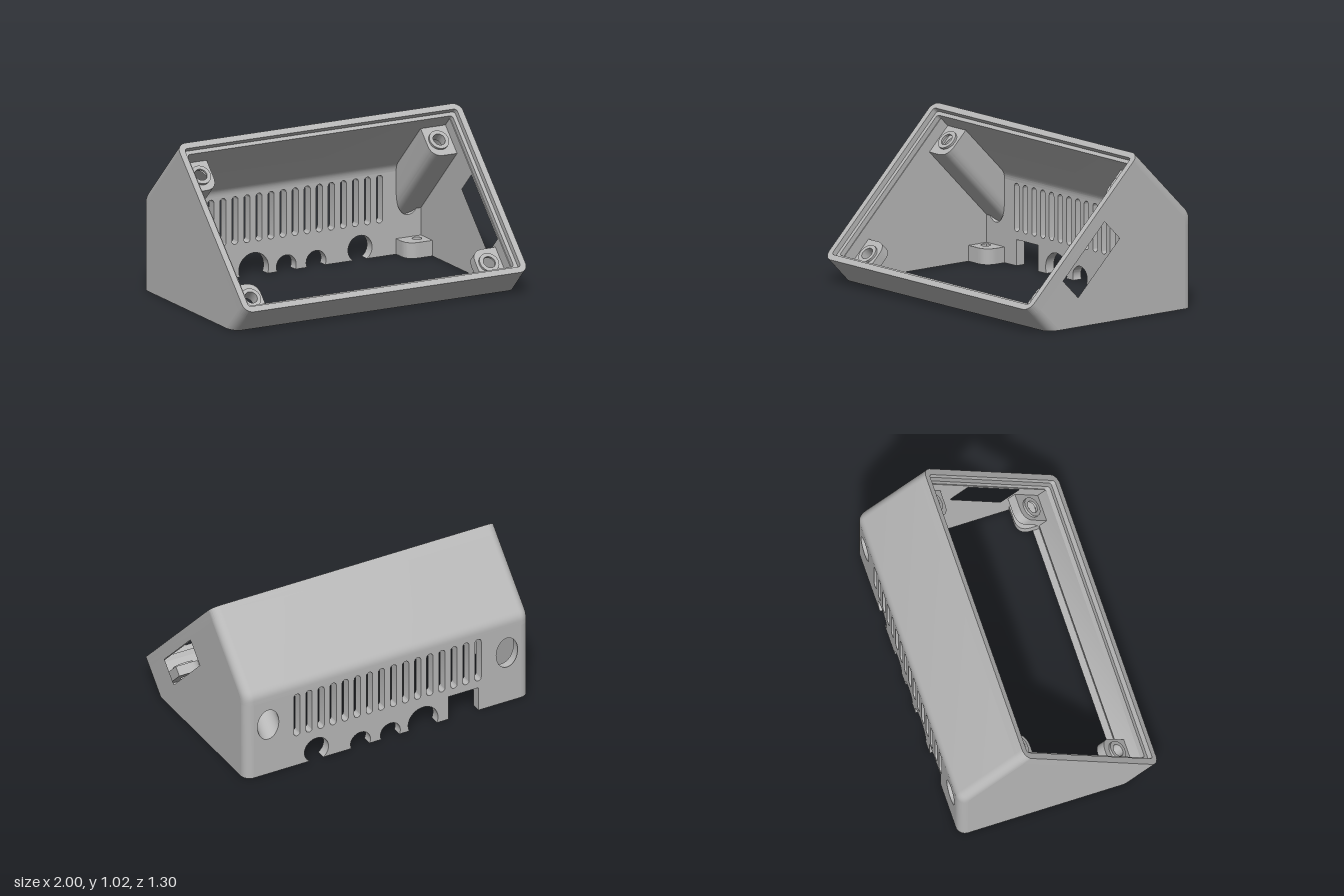
import * as THREE from 'three';
import { toCreasedNormals } from 'three/addons/utils/BufferGeometryUtils.js';

const R2 = Math.SQRT2;
const WALL = 0.065, FILLET = 0.06;            // wall thickness, outer edge radius
const U_LOW = -0.35, U_HIGH = 0.88;           // sloped face extents, along the slope
const FACE = 0.569, LEDGE = 0.534, NECK = 0.5; // heights along the face normal
const BACK = -0.65, SEAM = 0.53;              // back plane, top of the flat back panel

export function createModel() {
  const root = new THREE.Group();
  root.name = 'slopedEnclosure';
  const grey = new THREE.MeshStandardMaterial({ color: 0xb8b8b8 });
  grey.name = 'grey plastic';

  // Sloped frame: local x across, y up the slope, z out of the open face
  const slope = new THREE.Group();
  slope.name = 'slopedFrame';
  slope.rotation.x = -Math.PI / 4;
  root.add(slope);

  const add = (parent, name, geometry) => {
    const mesh = new THREE.Mesh(toCreasedNormals(geometry, 0.5), grey);
    mesh.name = name;
    parent.add(mesh);
    return mesh;
  };
  const extrude = (shape, depth) =>
    new THREE.ExtrudeGeometry(shape, { depth, bevelEnabled: false, curveSegments: 16 });
  const circle = (x, y, rx, ry = rx) =>
    new THREE.Path().absellipse(x, y, rx, ry, 0, Math.PI * 2, true);

  // Rounded rectangle matching the sloped face, inset by d
  function faceRect(path, d, r) {
    const x = 1 - d, a = U_LOW + d, b = U_HIGH - d;
    path.absarc(x - r, b - r, r, 0, Math.PI / 2, false);
    path.absarc(-x + r, b - r, r, Math.PI / 2, Math.PI, false);
    path.absarc(-x + r, a + r, r, Math.PI, Math.PI * 1.5, false);
    path.absarc(x - r, a + r, r, Math.PI * 1.5, Math.PI * 2, false);
    path.closePath();
    return path;
  }
  function faceRing(name, inset, from, to) {
    const shape = faceRect(new THREE.Shape(), 0, FILLET);
    shape.holes.push(faceRect(new THREE.Path(), inset, 0.02));
    add(slope, name, extrude(shape, to - from).translate(0, 0, from));
  }
  faceRing('faceRim', 0.04, LEDGE, FACE);
  faceRing('panelLedge', WALL, NECK, LEDGE);

  // Side profiles as [z, y] points, inset by d
  function upperChain(d) {
    const k = U_HIGH * R2 - R2 * d, f = NECK * R2;
    const z = BACK + d, y = k + z, t = 0.035;
    const bend = new THREE.QuadraticBezierCurve(
      new THREE.Vector2(z + t / R2, y + t / R2),
      new THREE.Vector2(z, y), new THREE.Vector2(z, y - t));
    return [[(f - k) / 2, (f + k) / 2], ...bend.getPoints(5).map(p => [p.x, p.y]), [z, SEAM]];
  }
  function lowerChain(d) {
    const k = U_LOW * R2 + R2 * d, f = NECK * R2;
    const mid = 0.05 - k;
    return [[(f - k) / 2, (f + k) / 2], [mid, 0.05], [d > FILLET ? mid : -k, 0]];
  }

  // Wall band: one rounded cross-section of [x, inset] swept down a profile
  const section = [];
  for (let i = 0; i <= 8; i++) {
    const a = (i / 8) * Math.PI / 2;
    section.push([1 - FILLET + FILLET * Math.cos(a), FILLET * (1 - Math.sin(a))]);
  }
  section.push(...section.map(([x, d]) => [-x, d]).reverse(), [-0.99, WALL], [0.99, WALL]);

  function band(chain, flip, cap) {
    const cols = section.map(([x, d]) => chain(d).map(([z, y]) => [x, y, z]));
    const pos = [], n = cols.length, last = cols[0].length - 1;
    const tri = (a, b, c) => pos.push(...a, ...(flip ? c : b), ...(flip ? b : c));
    for (let i = 0; i < n; i++) {
      const p = cols[i], q = cols[(i + 1) % n];
      for (let j = 0; j < last; j++) {
        tri(p[j], q[j], q[j + 1]);
        tri(p[j], q[j + 1], p[j + 1]);
      }
    }
    if (cap) for (let i = 1; i < n - 1; i++) tri(cols[0][last], cols[i][last], cols[i + 1][last]);
    const g = new THREE.BufferGeometry();
    g.setAttribute('position', new THREE.Float32BufferAttribute(pos, 3));
    g.computeVertexNormals();
    return g;
  }
  add(root, 'topWall', band(upperChain, true, false));
  add(root, 'frontWall', band(lowerChain, false, true));

  // Back panel with connector cutouts along the bottom edge
  const back = new THREE.Shape();
  const edge = 1 - FILLET;
  back.moveTo(-edge, 0);
  [[-0.64, 0], [-0.64, 0.165], [-0.43, 0.165], [-0.43, 0]].forEach(p => back.lineTo(...p));
  for (const [x, y, r] of [[-0.25, 0.04, 0.105], [-0.02, 0.03, 0.07], [0.19, 0.03, 0.07], [0.5, 0.07, 0.085]]) {
    const a = Math.asin(y / r);
    back.absarc(x, y, r, Math.PI + a, -a, true);
  }
  [[edge, 0], [edge, SEAM], [-edge, SEAM]].forEach(p => back.lineTo(...p));
  back.closePath();
  // Vent slots
  for (let i = 0; i < 16; i++) {
    const x = (i - 7.5) * 0.085, r = 0.022;
    const slot = new THREE.Path();
    slot.absarc(x, 0.52 - r, r, 0, Math.PI, false);
    slot.absarc(x, 0.215 + r, r, Math.PI, Math.PI * 2, false);
    slot.closePath();
    back.holes.push(slot);
  }
  // Clearance for the slanted screw shafts
  for (const s of [-1, 1]) back.holes.push(circle(s * 0.84, 0.36, 0.082, 0.118));
  add(root, 'backPanel', extrude(back, WALL).translate(0, 0, BACK));

  // Mounting tab outline, from the wall at v0 to a rounded free end at v1
  function tab(s, v0, v1, hx, hv, hr) {
    const x0 = 0.755, x1 = 0.935, r = 0.085, e = Math.sign(v1 - v0) * r;
    const shape = new THREE.Shape();
    shape.moveTo(s * x1, v0);
    shape.lineTo(s * x0, v0);
    shape.lineTo(s * x0, v1 - e);
    shape.quadraticCurveTo(s * x0, v1, s * (x0 + r), v1);
    shape.lineTo(s * x1, v1);
    shape.closePath();
    shape.holes.push(circle(s * hx, hv, hr));
    return shape;
  }

  for (const s of [-1, 1]) {
    const side = s > 0 ? 'left' : 'right';

    // Side wall, with a slot on the left only
    const outline = [...upperChain(FILLET), [BACK + FILLET, 0], ...lowerChain(FILLET).reverse()];
    const wall = new THREE.Shape(outline.map(([z, y]) => new THREE.Vector2(-z, y)));
    if (s > 0) {
      const slot = [[0.05, 0.635], [-0.07, 0.515], [0.26, 0.185], [0.38, 0.305]];
      wall.holes.push(new THREE.Path(slot.map(([z, y]) => new THREE.Vector2(-z, y))));
    }
    add(root, side + 'Wall', extrude(wall, 0.07).rotateY(Math.PI / 2).translate(s > 0 ? 0.93 : -1, 0, 0));

    // Rounded rear corner
    const post = new THREE.Shape();
    post.moveTo(s * edge, -BACK - WALL);
    for (const [x, d] of section.slice(0, 9).reverse()) post.lineTo(s * x, -BACK - d);
    post.lineTo(s * 0.99, -BACK - WALL);
    post.closePath();
    add(root, side + 'RearCorner', extrude(post, SEAM).rotateX(-Math.PI / 2));

    // Upper screw column, its foot cut flush with the back panel
    const column = extrude(tab(s, 0.83, 0.608, 0.84, 0.714, 0.075), 0.37);
    const p = column.attributes.position;
    for (let i = 0; i < p.count; i++) if (p.getZ(i) < 0.01) p.setZ(i, p.getY(i) + BACK * R2);
    column.computeVertexNormals();
    add(slope, side + 'ScrewColumn', column);
    add(slope, side + 'ColumnCap', extrude(tab(s, 0.83, 0.608, 0.84, 0.714, 0.04), 0.054).translate(0, 0, 0.37));

    // Lower panel tab
    add(slope, side + 'PanelTab', extrude(tab(s, -0.31, -0.075, 0.84, -0.18, 0.04), 0.064).translate(0, 0, 0.36));

    // Raised rings round the screw holes
    for (const v of [0.714, -0.18]) {
      const ring = new THREE.Shape().absarc(s * 0.84, v, 0.065, 0, Math.PI * 2, false);
      ring.holes.push(circle(s * 0.84, v, 0.04));
      add(slope, side + 'ScrewRing', extrude(ring, 0.015).translate(0, 0, 0.424));
    }

    // Base tabs, rear and front
    add(root, side + 'RearBaseTab', extrude(tab(s, 0.6, 0.44, 0.87, 0.53, 0.03), 0.1).rotateX(-Math.PI / 2));
    add(root, side + 'FrontBaseTab', extrude(tab(s, -0.48, -0.315, 0.87, -0.4, 0.03), 0.06).rotateX(-Math.PI / 2));
  }
  return root;
}
